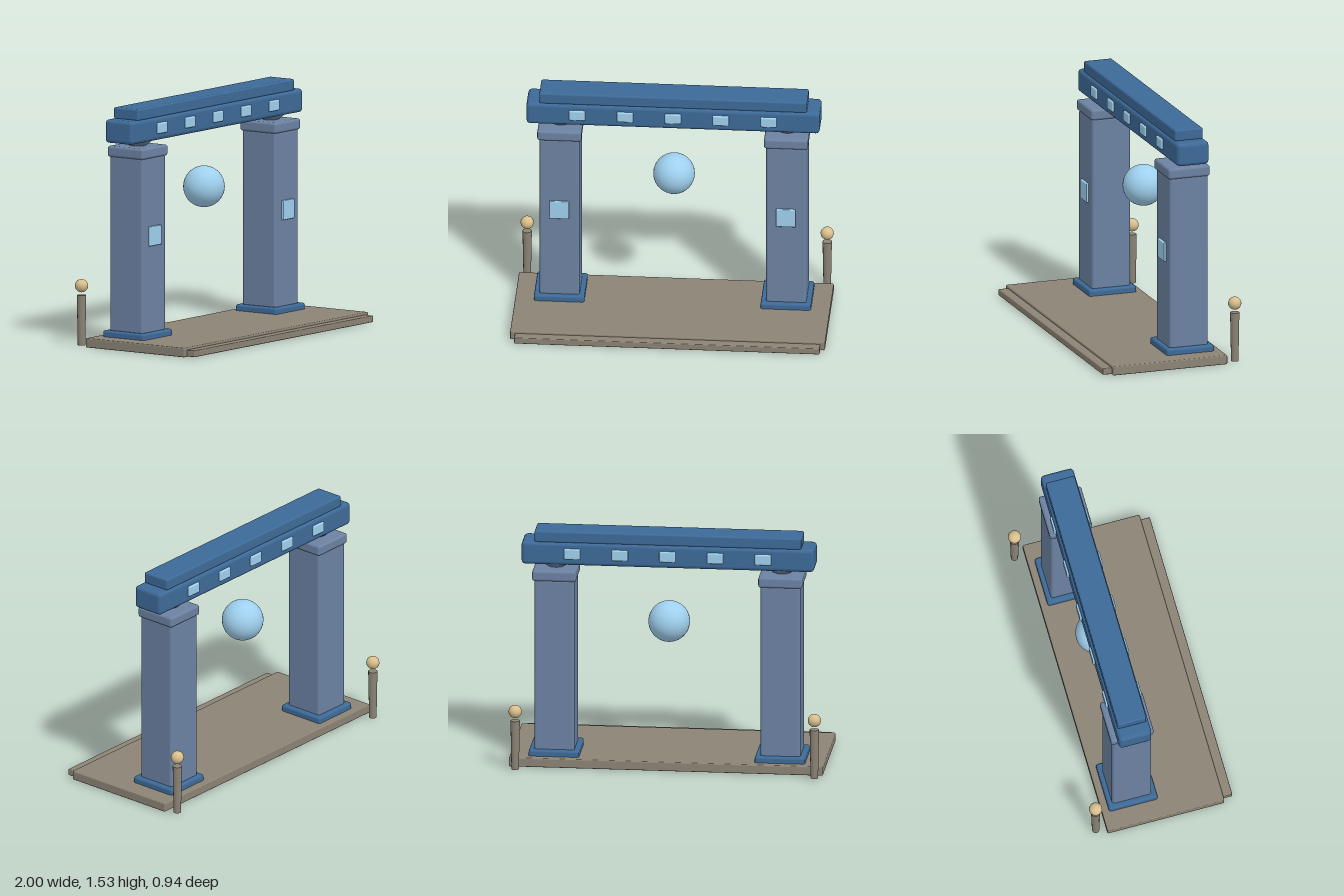
import * as THREE from 'three';
import { RoundedBoxGeometry } from 'three/addons/geometries/RoundedBoxGeometry.js';

const paint = (color) => new THREE.MeshStandardMaterial({ color });

export function createModel() {
  const group = new THREE.Group();
  const stone = paint(0x8b8375);
  const steel = paint(0x6c82a2);
  const navy = paint(0x3d6a98);
  const glow = paint(0x9fd0ee);
  const brass = paint(0xd9bf8c);
  const gateZ = -0.16;

  const add = (name, geometry, material, x, y, z) => {
    const mesh = new THREE.Mesh(geometry, material);
    mesh.name = name;
    mesh.position.set(x, y, z);
    group.add(mesh);
    return mesh;
  };
  // Rounded block given by its bottom and top heights
  const block = (name, material, x, z, width, y0, y1, depth, radius) =>
    add(name, new RoundedBoxGeometry(width, y1 - y0, depth, 2, radius), material, x, (y0 + y1) / 2, z);

  // Platform and front step
  block('platform', stone, 0, 0.02, 2, 0, 0.06, 0.77, 0.008);
  block('frontStep', stone, 0, 0.3825, 1.94, 0.003, 0.045, 0.165, 0.006);

  // Pillars, lamp posts
  for (const [side, s] of [['left', 1], ['right', -1]]) {
    const x = s * 0.72;
    block(side + 'Plinth', navy, x, gateZ, 0.32, 0.03, 0.1, 0.32, 0.015);
    block(side + 'Pillar', steel, x, gateZ, 0.256, 0.08, 1.22, 0.26, 0.018);
    block(side + 'Capital', steel, x, gateZ, 0.28, 1.21, 1.28, 0.28, 0.016);
    block(side + 'PillarPanel', glow, x, -0.03, 0.125, 0.65, 0.775, 0.03, 0.006);
    add(side + 'Bearing', new THREE.SphereGeometry(0.1, 24, 16), steel, x, 1.345, gateZ).scale.y = 0.75;

    add(side + 'LampPost', new THREE.CylinderGeometry(0.03, 0.024, 0.32, 12), stone, s * 0.953, 0.165, -0.43);
    add(side + 'LampBall', new THREE.SphereGeometry(0.042, 20, 14), brass, s * 0.953, 0.385, -0.43);
  }

  // Lintel with its cap
  block('lintel', navy, 0, gateZ, 1.864, 1.31, 1.46, 0.215, 0.025);
  block('lintelCap', navy, 0, gateZ, 1.7, 1.455, 1.53, 0.19, 0.012);

  // Row of lit studs showing on both faces of the lintel
  for (let i = -2; i <= 2; i++) {
    block('lintelStud', glow, i * 0.304, gateZ, 0.104, 1.353, 1.423, 0.24, 0.01);
  }

  // Floating orb in the opening
  add('orb', new THREE.SphereGeometry(0.132, 32, 24), glow, 0, 0.933, gateZ);

  return group;
}
